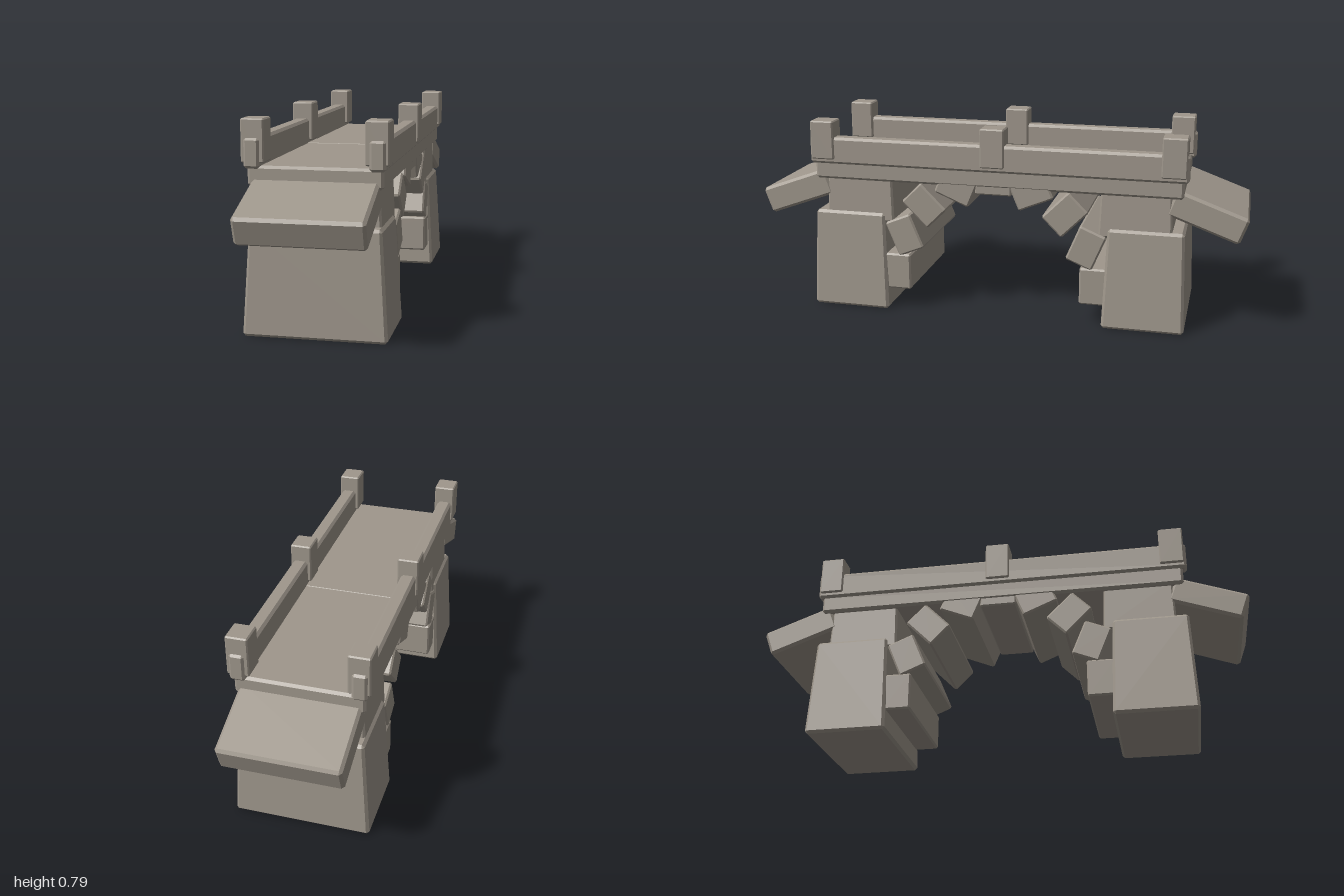
import * as THREE from 'three';
import { ConvexGeometry } from 'three/addons/geometries/ConvexGeometry.js';

// Box with chamfered edges; taper scales the top in x and z.
function stoneBox(w, h, d, bevel = 0.008, taperX = 1, taperZ = 1) {
  const points = [];
  for (const sx of [-1, 1]) for (const sy of [-1, 1]) for (const sz of [-1, 1]) {
    for (let axis = 0; axis < 3; axis++) {
      // Each corner becomes three points, one lying on each adjoining face
      const inset = [0, 1, 2].map((i) => (i === axis ? 0 : bevel));
      const x = sx * (w / 2 - inset[0]);
      const y = sy * (h / 2 - inset[1]);
      const z = sz * (d / 2 - inset[2]);
      const t = y / h + 0.5;
      points.push(new THREE.Vector3(x * (1 + (taperX - 1) * t), y, z * (1 + (taperZ - 1) * t)));
    }
  }
  return new ConvexGeometry(points);
}

export function createModel() {
  const model = new THREE.Group();
  model.name = 'stoneBridge';
  const stone = new THREE.MeshStandardMaterial({ color: 0x9f978c });
  stone.name = 'greyStone';

  const add = (parent, name, geometry, x, y, z, tilt = 0) => {
    const mesh = new THREE.Mesh(geometry, stone);
    mesh.name = name;
    mesh.position.set(x, y, z);
    mesh.rotation.x = THREE.MathUtils.degToRad(tilt);
    parent.add(mesh);
  };

  // Walkway and the keystone under its middle
  add(model, 'deck', stoneBox(0.49, 0.075, 1.5, 0.01), 0, 0.5825, 0);
  add(model, 'keystone', stoneBox(0.48, 0.107, 0.15, 0.006), 0, 0.5685, 0);

  // Parapets: one rail and three posts on each side
  for (const side of [-1, 1]) {
    const label = side > 0 ? 'left' : 'right';
    add(model, label + 'Rail', stoneBox(0.06, 0.11, 1.534, 0.01), side * 0.225, 0.665, 0);
    for (const z of [-0.71, 0, 0.71]) {
      add(model, label + 'Post', stoneBox(0.085, 0.157, 0.097, 0.005), side * 0.2225, 0.7085, z);
    }
  }

  // Arch stones: y, z and tilt, from the springing up to the keystone
  const archStones = [
    [0.163, 0.41, 0],
    [0.322, 0.376, 22.5],
    [0.453, 0.29, 45],
    [0.54, 0.153, 67.5],
  ];

  // Each end: pier, neck, sloping ramp and half of the arch
  for (const end of ['front', 'back']) {
    const group = new THREE.Group();
    group.name = end + 'End';
    if (end === 'back') group.rotation.y = Math.PI;
    add(group, 'pierBase', stoneBox(0.532, 0.408, 0.328, 0.011, 0.905, 0.91), 0, 0.204, 0.61);
    add(group, 'pierNeck', stoneBox(0.465, 0.2, 0.29, 0.008, 0.97, 0.95), 0, 0.47, 0.567);
    add(group, 'ramp', stoneBox(0.46, 0.11, 0.3, 0.011), 0, 0.478, 0.842, 20);
    for (const [y, z, tilt] of archStones) {
      add(group, 'archStone', stoneBox(0.484, 0.152, 0.115, 0.007), 0, y, z, tilt);
    }
    model.add(group);
  }
  return model;
}
